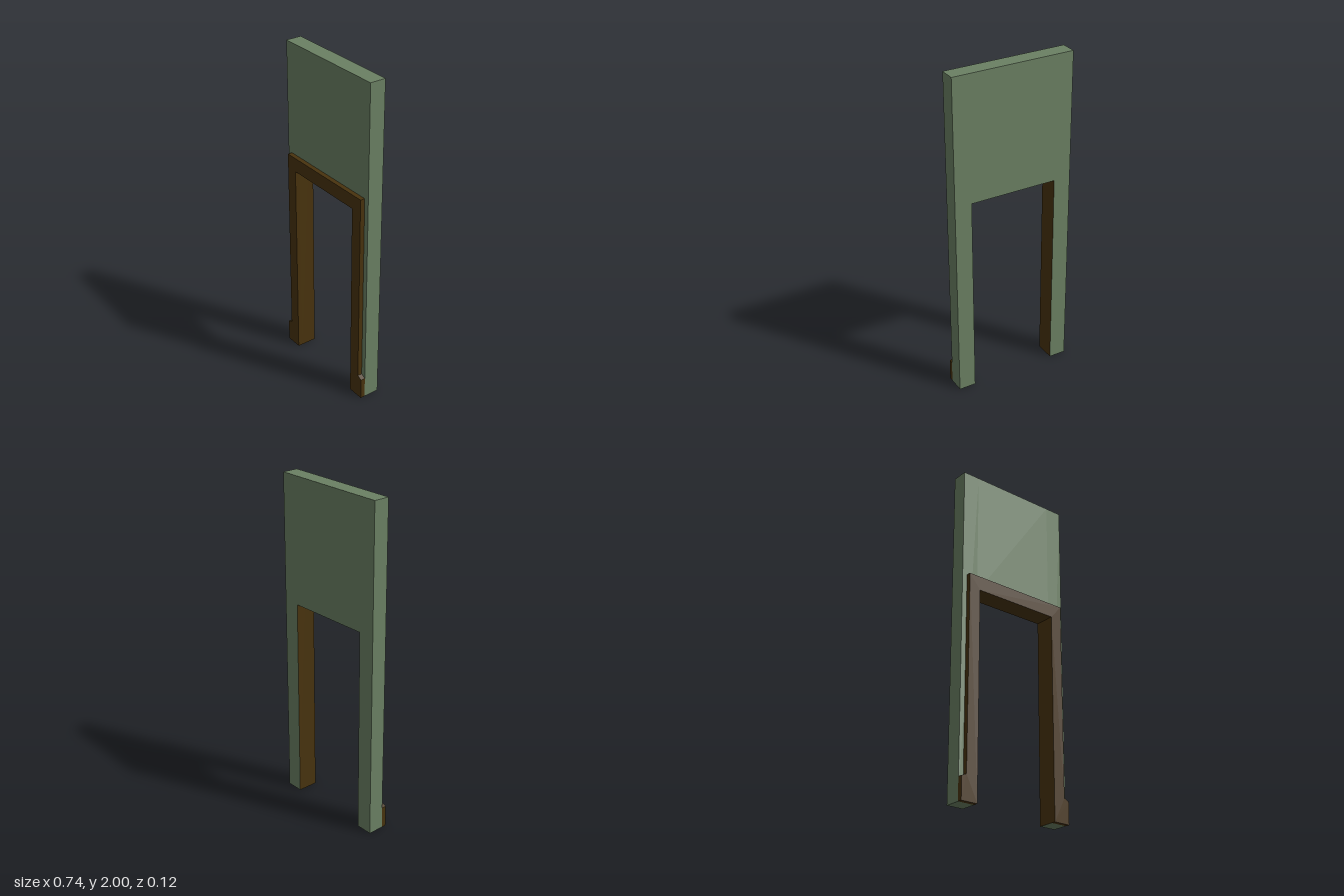
import * as THREE from 'three';

const HALF_WIDTH = 0.37, HEIGHT = 2;
const OPEN_X = 0.266, OPEN_Y = 1.24;      // doorway half width and height
const BACK = -0.062, FACE = 0.034, FRONT = 0.062; // wall back, wall face, trim face
const TRIM_X = 0.339, TRIM_Y = 1.325;

export function createModel() {
  const green = new THREE.MeshStandardMaterial({ color: 0x6b8063 });
  green.name = 'wall green';
  const brown = new THREE.MeshStandardMaterial({ color: 0x48330e });
  brown.name = 'trim brown';

  const group = new THREE.Group();
  group.name = 'doorwayWall';

  // Wall block; brownSide is the box face that lines the doorway
  function wallBlock(name, x0, x1, y0, y1, brownSide) {
    const geometry = new THREE.BoxGeometry(x1 - x0, y1 - y0, FACE - BACK);
    const materials = Array(6).fill(green);
    materials[brownSide] = brown;
    const mesh = new THREE.Mesh(geometry, materials);
    mesh.name = name;
    mesh.position.set((x0 + x1) / 2, (y0 + y1) / 2, (FACE + BACK) / 2);
    group.add(mesh);
  }
  wallBlock('leftWallPost', OPEN_X, HALF_WIDTH, 0, HEIGHT, 1);
  wallBlock('rightWallPost', -HALF_WIDTH, -OPEN_X, 0, HEIGHT, 0);
  wallBlock('wallAboveDoor', -OPEN_X, OPEN_X, OPEN_Y, HEIGHT, 3);

  // Door surround: one outline with sloped plinth blocks at the feet
  const half = [
    [OPEN_X, OPEN_Y], [OPEN_X, 0], [HALF_WIDTH, 0],
    [HALF_WIDTH, 0.133], [TRIM_X, 0.147], [TRIM_X, TRIM_Y],
  ];
  const mirrored = half.map(([x, y]) => [-x, y]).reverse();
  const outline = new THREE.Shape([...half, ...mirrored].map(([x, y]) => new THREE.Vector2(x, y)));
  const trim = new THREE.Mesh(
    new THREE.ExtrudeGeometry(outline, { depth: FRONT - FACE, bevelEnabled: false }), brown);
  trim.name = 'doorSurround';
  trim.position.z = FACE;
  group.add(trim);

  return group;
}
